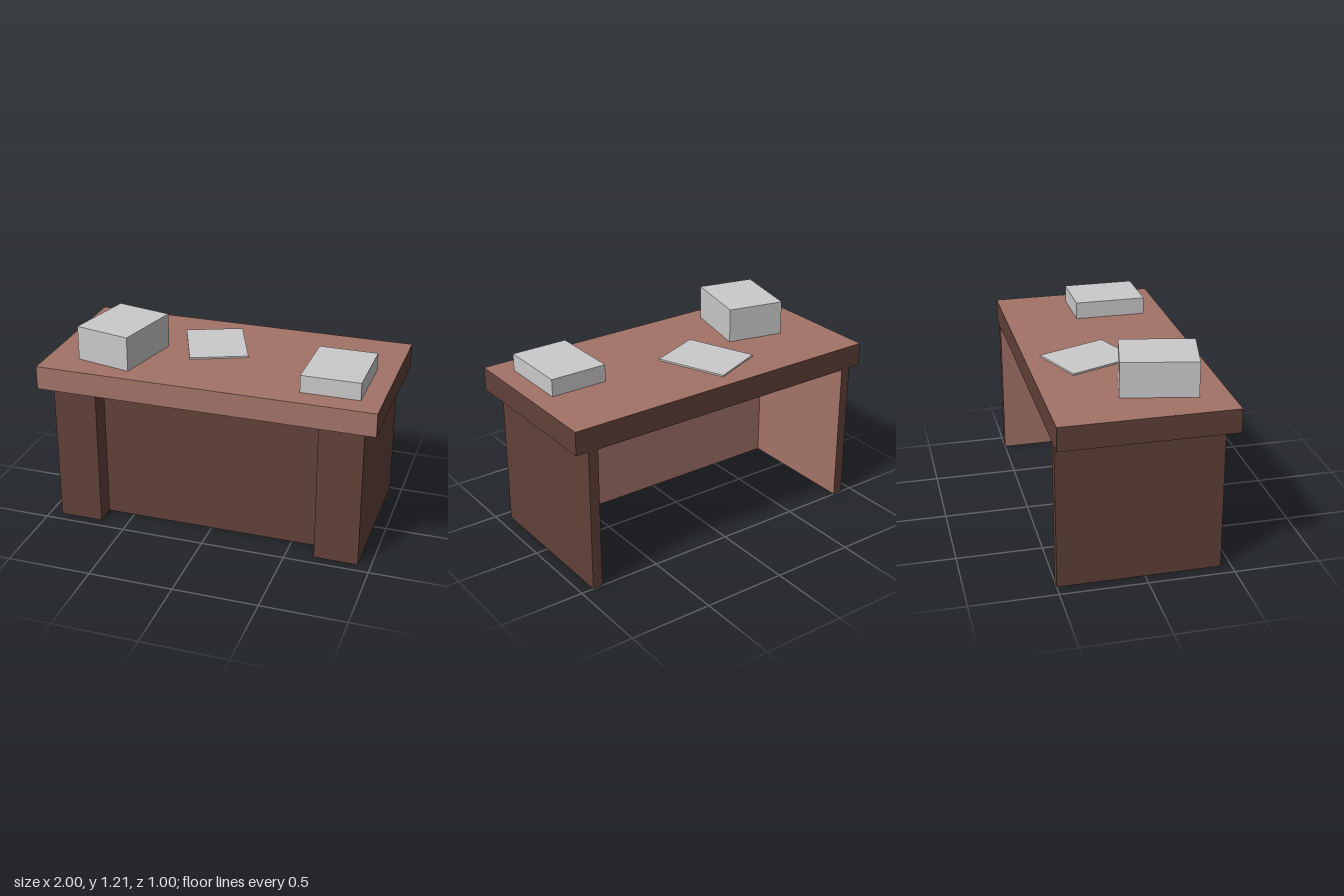
import * as THREE from 'three';

const material = (name, color, side = THREE.FrontSide) => {
  const m = new THREE.MeshStandardMaterial({ color, side });
  m.name = name;
  return m;
};

// Upright walls that follow a path of [x, z] points
function wallGeometry(path, y0, y1) {
  const pos = [];
  for (let i = 0; i < path.length - 1; i++) {
    const [ax, az] = path[i], [bx, bz] = path[i + 1];
    pos.push(ax, y0, az, ax, y1, az, bx, y0, bz);
    pos.push(bx, y0, bz, ax, y1, az, bx, y1, bz);
  }
  const g = new THREE.BufferGeometry();
  g.setAttribute('position', new THREE.Float32BufferAttribute(pos, 3));
  g.computeVertexNormals();
  return g;
}

export function createModel() {
  const group = new THREE.Group();
  group.name = 'desk';
  const light = material('light wood', 0xa37368, THREE.DoubleSide);
  const dark = material('dark wood', 0x624139, THREE.DoubleSide);
  const paper = material('paper', 0xcacaca);

  const add = (name, geometry, mat, x = 0, y = 0, z = 0) => {
    const mesh = new THREE.Mesh(geometry, mat);
    mesh.name = name;
    mesh.position.set(x, y, z);
    group.add(mesh);
    return mesh;
  };

  const under = 0.86, inX = 0.865, inZ = 0.255, back = -0.5;

  // Desk top: light on top and front, dark on the other faces
  add('deskTop', new THREE.BoxGeometry(2, 1 - under, 1),
    [dark, dark, light, dark, light, dark], 0, (1 + under) / 2, 0);

  // Outer shell: side walls, front posts and recessed front panel, open below
  const half = [[inX, back], [0.925, back], [0.925, 0.44], [0.665, 0.44], [0.665, 0.315]];
  const mirrored = half.map(([x, z]) => [-x, z]).reverse();
  add('outerWalls', wallGeometry([...half, ...mirrored], 0, under), dark);

  // Lining of the knee space
  const lining = [[-inX, back], [-inX, inZ], [inX, inZ], [inX, back]];
  add('innerWalls', wallGeometry(lining, 0, under), light);
  const ceiling = new THREE.PlaneGeometry(inX * 2, inZ - back).rotateX(Math.PI / 2);
  add('innerCeiling', ceiling, light, 0, under - 0.002, (inZ + back) / 2);

  // Paper stacks: name, height, x, z, turn
  const stacks = [
    ['tallPaperStack', 0.205, -0.593, 0.148, -0.22],
    ['paperSheet', 0.01, -0.115, -0.139, 0.386],
    ['lowPaperStack', 0.103, 0.707, 0.15, 0],
  ];
  for (const [name, h, x, z, turn] of stacks) {
    add(name, new THREE.BoxGeometry(0.344, h, 0.432), paper, x, 1 + h / 2, z).rotation.y = turn;
  }
  return group;
}
